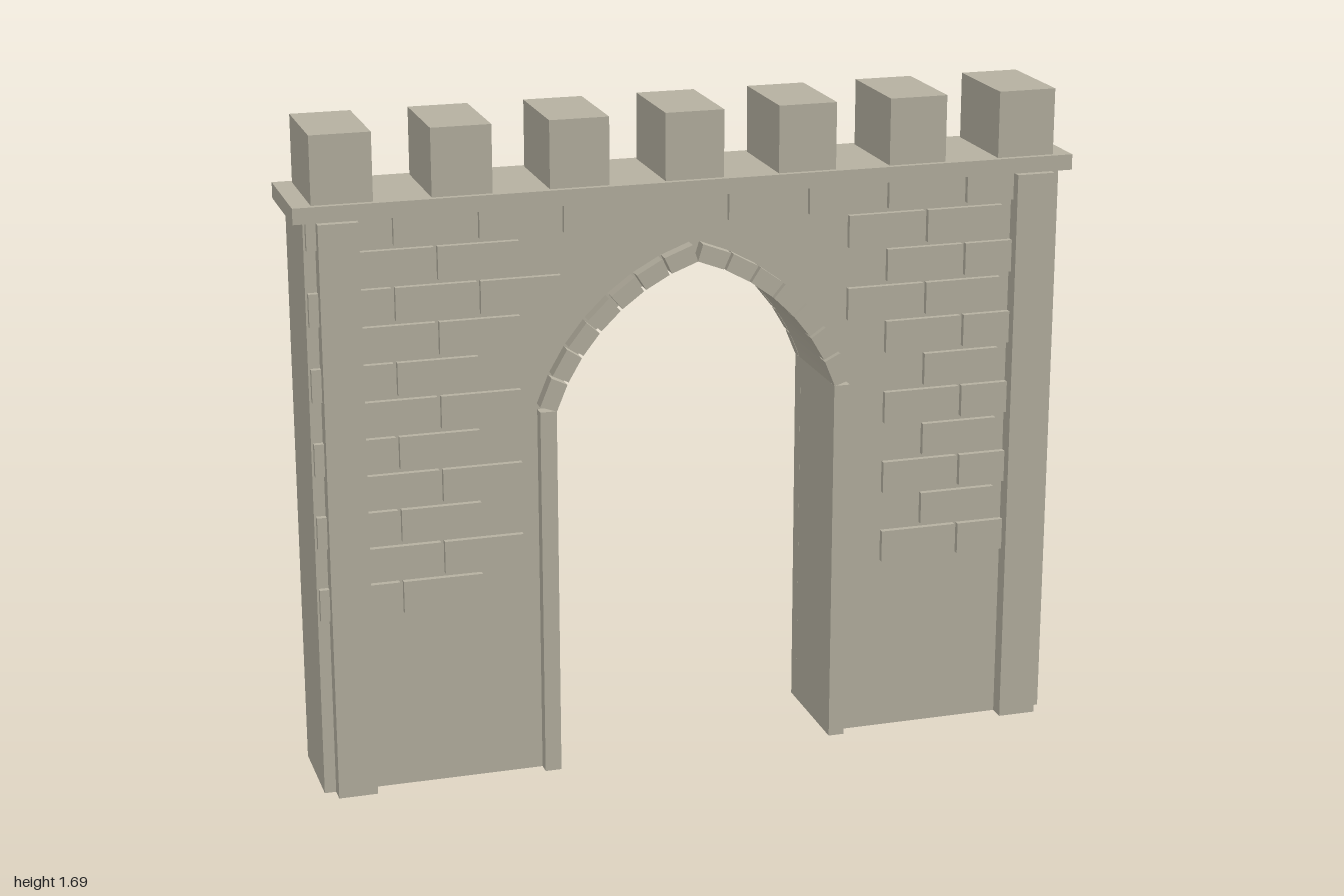
import * as THREE from 'three';

export function createModel() {
  const model = new THREE.Group();
  model.name = 'castleGateway';
  const stone = new THREE.MeshStandardMaterial({ color: 0xb5b0a0 });
  stone.name = 'stone';

  const WALL_Z = 0.12, WALL_TOP = 1.482;
  const HALF_OPENING = 0.364, SPRING_Y = 0.965;
  // Pointed arch: each half is an arc centred across the middle line
  const CX = 0.166, CY = 0.785, R = 0.56, APEX_Y = 1.32;
  const a0 = Math.atan2(SPRING_Y - CY, HALF_OPENING + CX);
  const a1 = Math.atan2(APEX_Y - CY, CX);

  const group = (name) => {
    const g = new THREE.Group();
    g.name = name;
    model.add(g);
    return g;
  };
  const add = (parent, name, geometry) => {
    const mesh = new THREE.Mesh(geometry, stone);
    mesh.name = name;
    parent.add(mesh);
    return mesh;
  };
  // Box given by its limits
  const box = (parent, name, x0, x1, y0, y1, z0, z1) =>
    add(parent, name, new THREE.BoxGeometry(x1 - x0, y1 - y0, z1 - z0))
      .position.set((x0 + x1) / 2, (y0 + y1) / 2, (z0 + z1) / 2);
  // The same box on the front and the back face
  const bothFaces = (parent, name, x0, x1, y0, y1, out) => {
    box(parent, name, x0, x1, y0, y1, WALL_Z - 0.01, out);
    box(parent, name, x0, x1, y0, y1, -out, -WALL_Z + 0.01);
  };

  // Wall with the pointed opening
  const s = new THREE.Shape();
  s.moveTo(HALF_OPENING, 0);
  s.lineTo(0.973, 0);
  s.lineTo(0.973, WALL_TOP);
  s.lineTo(-0.973, WALL_TOP);
  s.lineTo(-0.973, 0);
  s.lineTo(-HALF_OPENING, 0);
  s.lineTo(-HALF_OPENING, SPRING_Y);
  s.absarc(CX, CY, R, Math.PI - a0, Math.PI - a1, true);
  s.absarc(-CX, CY, R, a1, a0, true);
  const wall = new THREE.ExtrudeGeometry(s, { depth: 2 * WALL_Z, bevelEnabled: false, curveSegments: 20 });
  wall.translate(0, 0, -WALL_Z);
  add(model, 'wall', wall);

  // Cornice and battlements
  box(model, 'cornice', -1, 1, WALL_TOP, 1.522, -0.143, 0.143);
  const battlements = group('battlements');
  for (let i = -3; i <= 3; i++) {
    const x = i * 0.2925;
    box(battlements, 'merlon', x - 0.075, x + 0.075, 1.522, 1.692, -0.128, 0.128);
  }

  // Pilasters near the ends and jamb strips beside the opening
  const pilasters = group('pilasters');
  const jambs = group('jambs');
  for (const side of [-1, 1]) {
    const p = side * 0.8945, j = side * 0.385;
    bothFaces(pilasters, 'pilaster', p - 0.0495, p + 0.0495, 0, WALL_TOP, 0.162);
    bothFaces(jambs, 'jamb', j - 0.021, j + 0.021, 0, SPRING_Y, 0.152);
  }

  // Arch stones, wedge by wedge on both halves and both faces
  const archStones = group('archStones');
  const COUNT = 7, GAP = 0.006, step = (a1 - a0) / COUNT;
  for (const side of [-1, 1]) {
    for (let i = 0; i < COUNT; i++) {
      const b0 = a0 + i * step + (i ? GAP : 0);
      const b1 = a0 + (i + 1) * step - (i < COUNT - 1 ? GAP : 0);
      const at = (r, a) => new THREE.Vector2(side * (r * Math.cos(a) - CX), CY + r * Math.sin(a));
      const wedge = new THREE.Shape([at(R, b0), at(R + 0.045, b0), at(R + 0.045, b1), at(R, b1)]);
      for (const z of [WALL_Z - 0.01, -0.155]) {
        const g = new THREE.ExtrudeGeometry(wedge, { depth: 0.045 - 0.01, bevelEnabled: false });
        add(archStones, 'archStone', g).position.z = z + (z > 0 ? 0.01 : 0);
      }
    }
  }

  // Raised bricks: column numbers for each course, from the top down
  const bricks = group('bricks');
  const courses = [
    [0, 1, 2, 3, 5, 6, 7, 8], [0, 1, 6, 7], [0, 1, 2, 7, 8], [0, 1, 6, 7],
    [0, 1, 7, 8], [0, 1, 7], [0, 1, 7, 8], [0, 1, 7], [0, 1, 7, 8], [0, 1, 7], [0, 1, 7, 8],
  ];
  courses.forEach((columns, row) => {
    const y = 1.413 - row * 0.0945;
    const top = row === 0 ? WALL_TOP : y + 0.083;
    for (const c of columns) {
      const x = -0.968 + c * 0.2109 + (row % 2) * 0.1065;
      bothFaces(bricks, 'brick', x, x + 0.2015, y, top, 0.135);
    }
  });

  return model;
}
